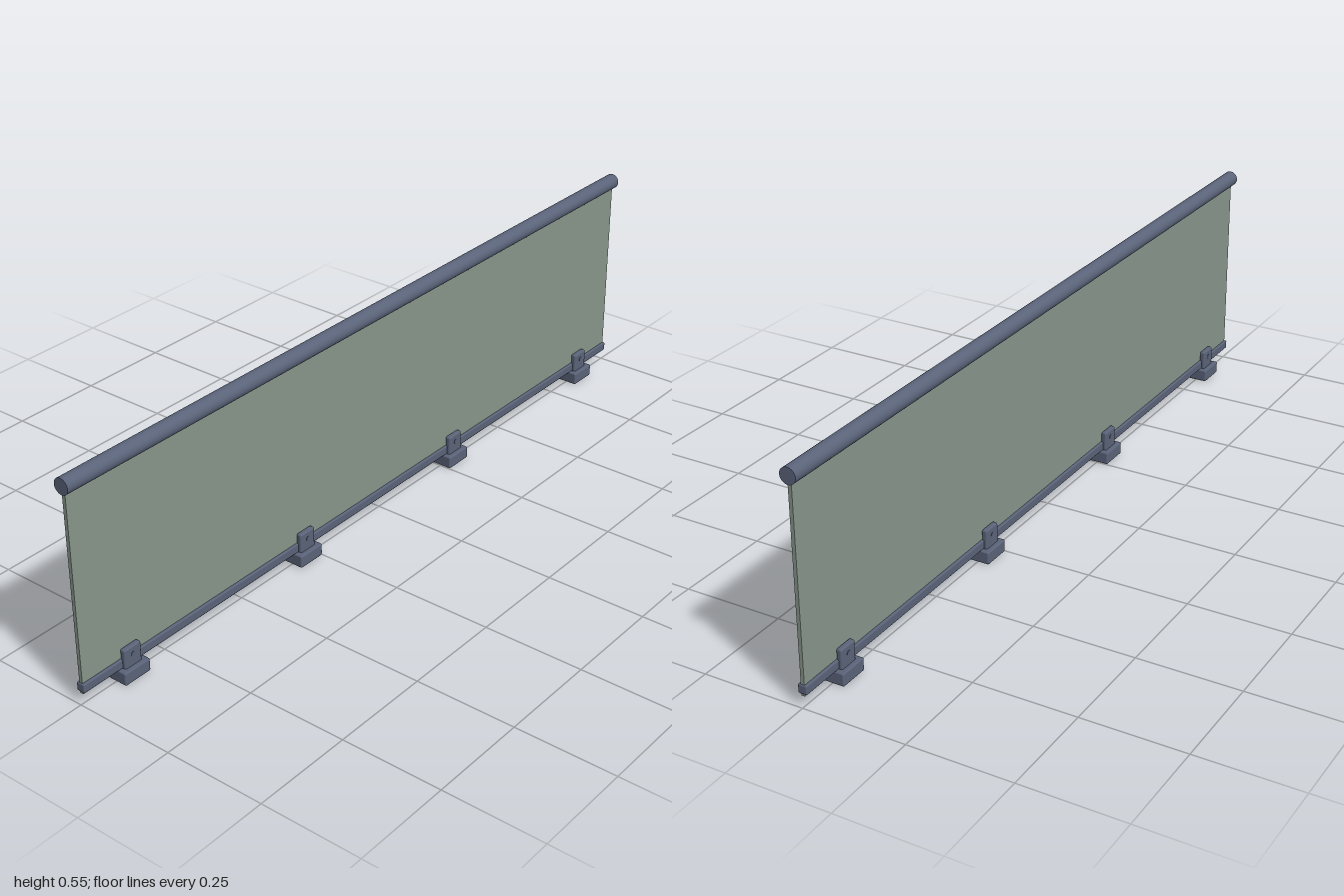
import * as THREE from 'three';
import { RoundedBoxGeometry } from 'three/addons/geometries/RoundedBoxGeometry.js';

const metal = new THREE.MeshStandardMaterial({ color: 0x5a6379 });
metal.name = 'slateMetal';
const glass = new THREE.MeshStandardMaterial({ color: 0x88958b });
glass.name = 'greyGreenGlass';

function add(parent, name, geometry, material, x, y, z) {
  const mesh = new THREE.Mesh(geometry, material);
  mesh.name = name;
  mesh.position.set(x, y, z);
  parent.add(mesh);
  return mesh;
}

// One floor clamp: foot block, two jaws gripping the glass, and a bolt head on each side
function createClamp(x) {
  const clamp = new THREE.Group();
  clamp.name = 'clamp';
  clamp.position.x = x;
  add(clamp, 'clampFoot', new RoundedBoxGeometry(0.075, 0.032, 0.06, 2, 0.004), metal, 0, 0.016, 0);
  for (const side of [1, -1]) {
    add(clamp, 'clampJaw', new RoundedBoxGeometry(0.05, 0.054, 0.0145, 2, 0.005), metal, 0, 0.053, side * 0.0115);
    const bolt = add(clamp, 'clampBolt', new THREE.CylinderGeometry(0.006, 0.006, 0.002, 16), metal, 0, 0.06, side * 0.019);
    bolt.rotation.x = Math.PI / 2;
  }
  return clamp;
}

export function createModel() {
  const model = new THREE.Group();
  model.name = 'glassBalustrade';

  // Glass sheet
  add(model, 'glassPanel', new THREE.BoxGeometry(1.99, 0.495, 0.009), glass, 0, 0.2745, 0);

  // Round handrail along the top edge
  const rail = add(model, 'handrail', new THREE.CylinderGeometry(0.0195, 0.0195, 2, 32), metal, 0, 0.532, 0);
  rail.rotation.z = Math.PI / 2;

  // Bottom channel around the lower edge of the glass
  add(model, 'bottomRail', new RoundedBoxGeometry(1.995, 0.022, 0.022, 2, 0.003), metal, 0, 0.043, 0);

  // Evenly spaced clamps
  for (const x of [-0.86, -0.288, 0.288, 0.86]) model.add(createClamp(x));

  return model;
}
